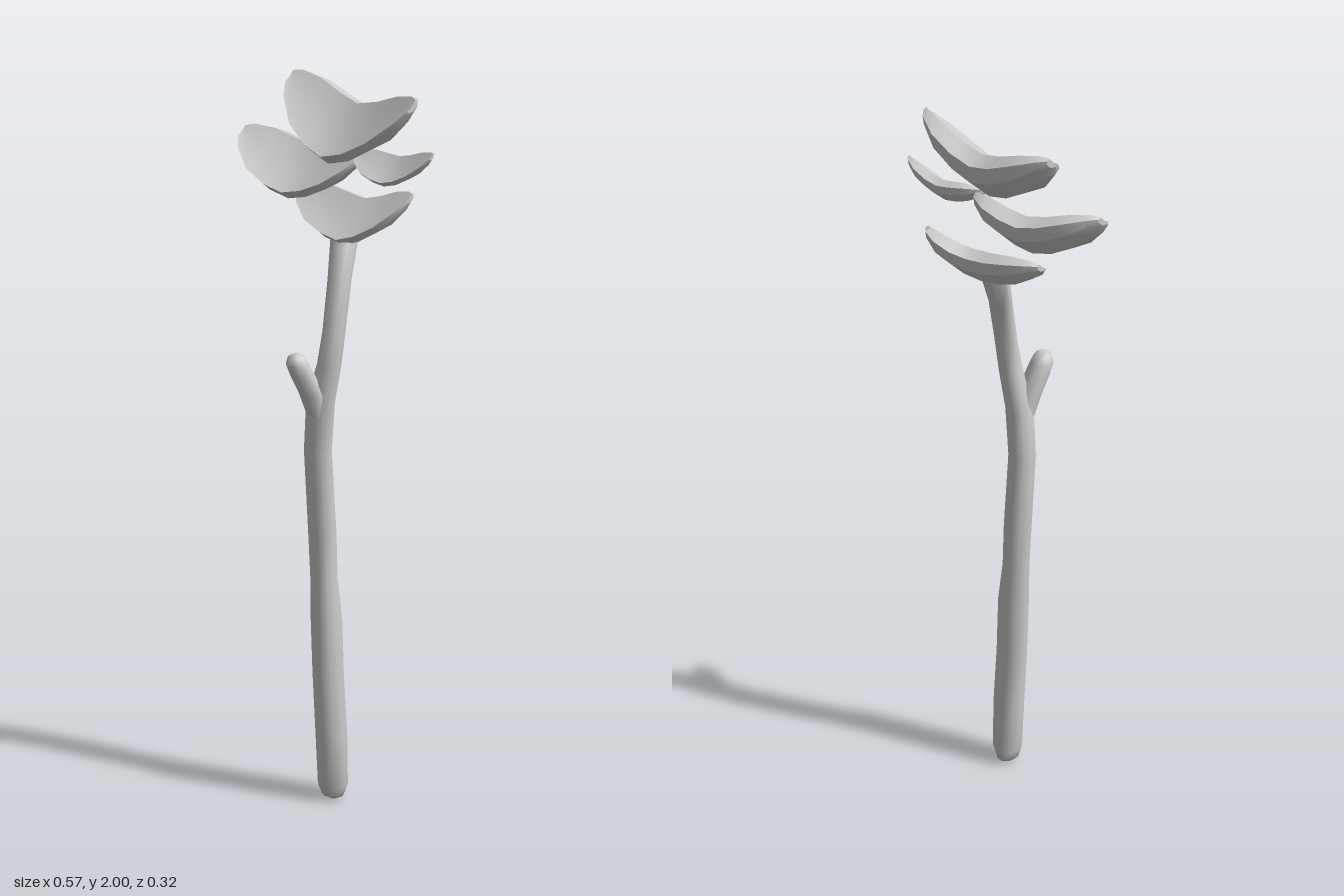
import * as THREE from 'three';
import { toCreasedNormals } from 'three/addons/utils/BufferGeometryUtils.js';

const V = (x, y, z) => new THREE.Vector3(x, y, z);

// Skin a list of equal-length rings and close both ends with fans.
function loft(rings, crease) {
  const n = rings[0].length, last = rings.length - 1;
  const points = rings.flat(), index = [];
  for (let i = 0; i < last; i++) {
    for (let j = 0; j < n; j++) {
      const k = (j + 1) % n;
      const a = i * n + j, b = i * n + k, c = a + n, d = b + n;
      index.push(a, c, b, b, c, d);
    }
  }
  [0, last].forEach((r) => {
    const centre = rings[r].reduce((s, p) => s.add(p), V(0, 0, 0)).divideScalar(n);
    const id = points.push(centre) - 1;
    for (let j = 0; j < n; j++) {
      const a = r * n + j, b = r * n + (j + 1) % n;
      index.push(id, r ? b : a, r ? a : b);
    }
  });
  const geometry = new THREE.BufferGeometry().setFromPoints(points);
  geometry.setIndex(index);
  return toCreasedNormals(geometry, crease);
}

// Slightly uneven round limb; each station is [x, y, z, radius].
function limb(stations, sides, uneven) {
  const rings = stations.map(([x, y, z, r], i) => {
    const ring = [];
    for (let j = 0; j < sides; j++) {
      const t = (j / sides) * Math.PI * 2;
      const s = r * (1 + uneven * Math.sin(3 * t + i * 0.9));
      ring.push(V(x + Math.cos(t) * s, y, z + Math.sin(t) * s));
    }
    return ring;
  });
  return loft(rings, 0.95);
}

// Leaf cross-section as [z, y]: front lip, hollow, ridge, back edge, underside.
const SECTION = [
  [0.065, -0.072], [0.095, -0.048], [0.025, -0.008], [-0.045, 0.063],
  [-0.092, 0.045], [-0.085, 0], [-0.02, -0.06],
];
// Stations along a leaf as [position from tip to tip, width].
const WIDTHS = [[-1, 0.22], [-0.9, 0.5], [-0.62, 0.87], [-0.3, 0.98], [0, 1], [0.3, 0.98], [0.62, 0.87], [0.9, 0.5], [1, 0.22]];

// V-shaped leaf running from its right tip through the centre to its left tip.
function leaf(from, centre, to, scale) {
  const rings = WIDTHS.map(([u, w]) => {
    const tip = u < 0 ? from : to;
    const p = centre.clone().lerp(tip, Math.abs(u));
    p.y = THREE.MathUtils.lerp(centre.y, tip.y, Math.abs(u) ** 1.5);
    return SECTION.map(([z, y]) => V(p.x, p.y + y * w * scale, p.z + z * w * scale));
  });
  return loft(rings, 0.5);
}

export function createModel() {
  const model = new THREE.Group();
  model.name = 'leafyStaff';
  const grey = new THREE.MeshStandardMaterial({ color: 0xcccccc });
  grey.name = 'grey';
  const add = (name, geometry) => {
    const mesh = new THREE.Mesh(geometry, grey);
    mesh.name = name;
    model.add(mesh);
  };

  // Crooked trunk with a rounded foot
  add('trunk', limb([
    [0.056, 0, 0.042, 0.014],
    [0.056, 0.012, 0.042, 0.032],
    [0.056, 0.045, 0.044, 0.042],
    [0.053, 0.2, 0.05, 0.044],
    [0.046, 0.38, 0.056, 0.043],
    [0.045, 0.55, 0.06, 0.043],
    [0.037, 0.67, 0.058, 0.037],
    [0.031, 0.8, 0.056, 0.038],
    [0.015, 1.03, 0.056, 0.037],
    [0.024, 1.17, 0.058, 0.038],
    [0.046, 1.28, 0.05, 0.032],
    [0.053, 1.37, 0.04, 0.03],
    [0.044, 1.5, 0.008, 0.031],
    [0.025, 1.59, -0.033, 0.036],
    [0.025, 1.61, -0.045, 0.03],
  ], 10, 0.06));

  // Cut-off side twig
  add('twig', limb([
    [0.022, 1.12, 0.06, 0.028],
    [0.018, 1.2, 0.084, 0.034],
    [0.01, 1.26, 0.113, 0.033],
    [0.006, 1.29, 0.126, 0.031],
    [0.006, 1.311, 0.13, 0.023],
    [0.006, 1.32, 0.132, 0.009],
  ], 10, 0.02));

  // Four leaves, stacked from top to bottom
  add('topLeaf', leaf(V(-0.187, 1.983, -0.06), V(0.03, 1.882, -0.03), V(0.248, 1.983, -0.035), 1));
  add('rightLeaf', leaf(V(-0.288, 1.835, 0.015), V(-0.105, 1.758, -0.02), V(0.06, 1.818, -0.055), 0.9));
  add('leftLeaf', leaf(V(0.06, 1.825, -0.04), V(0.17, 1.802, -0.052), V(0.287, 1.855, -0.065), 0.5));
  add('bottomLeaf', leaf(V(-0.155, 1.69, -0.06), V(0.035, 1.642, -0.062), V(0.17, 1.712, -0.12), 0.78));
  return model;
}
